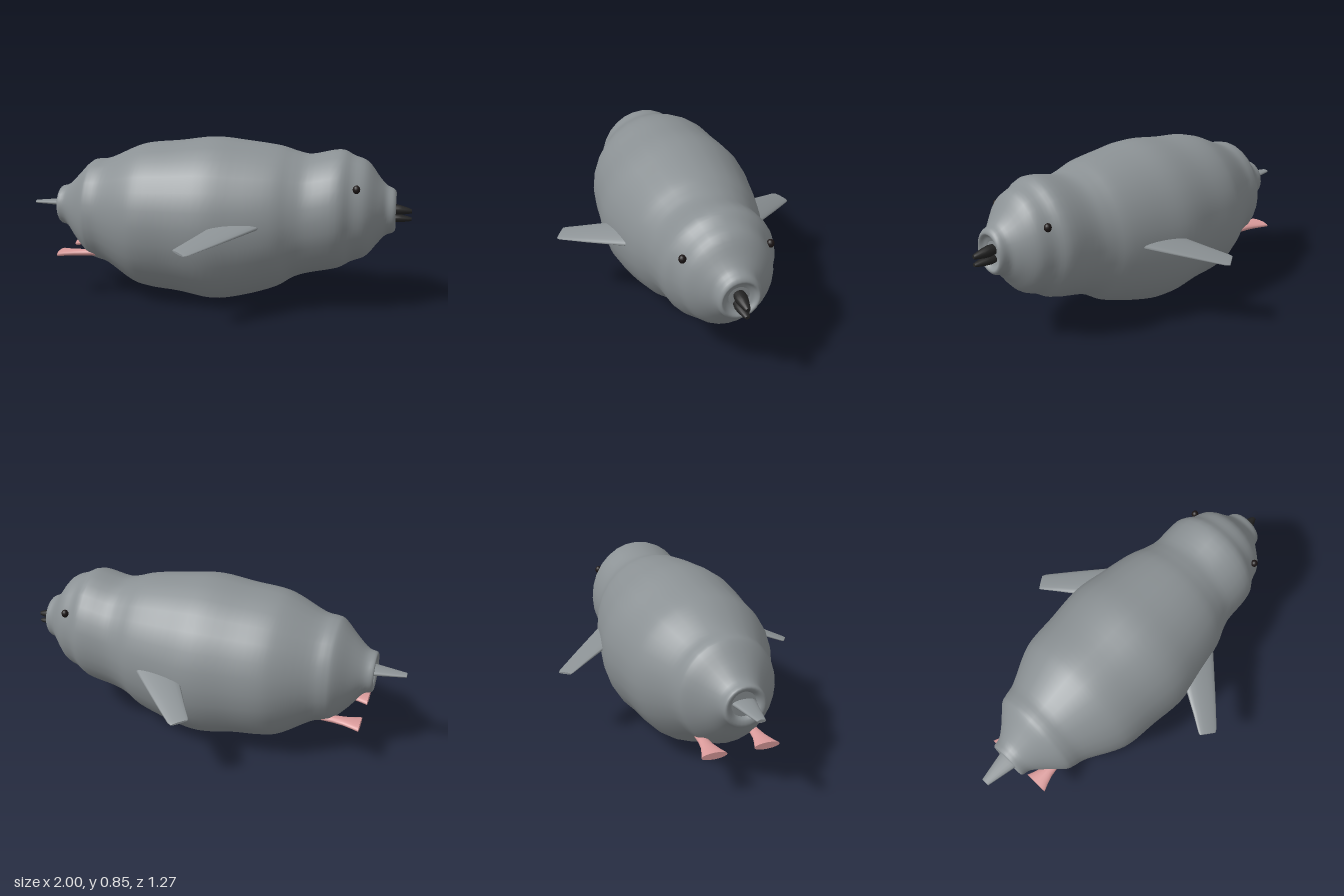
import * as THREE from 'three';

const V = (x, y, z) => new THREE.Vector3(x, y, z);

// Ellipse of points: centre + u cos + v sin (u x v points along the loft)
function ring(c, u, v, n) {
  return Array.from({ length: n }, (_, j) => {
    const a = (j / n) * Math.PI * 2;
    return c.clone().addScaledVector(u, Math.cos(a)).addScaledVector(v, Math.sin(a));
  });
}

// Smooth skin through a row of rings, with flat end caps
function loft(rings) {
  const n = rings[0].length, pts = rings.flat(), idx = [];
  for (let i = 0; i < rings.length - 1; i++) {
    for (let j = 0; j < n; j++) {
      const k = (j + 1) % n, a = i * n + j, b = i * n + k;
      idx.push(a, b, a + n, b, b + n, a + n);
    }
  }
  [rings[0], rings[rings.length - 1]].forEach((r, end) => {
    const s = pts.length;
    const mid = r.reduce((m, p) => m.add(p), V(0, 0, 0)).divideScalar(n);
    pts.push(...r, mid);
    for (let j = 0; j < n; j++) {
      const k = (j + 1) % n;
      if (end) idx.push(s + n, s + j, s + k);
      else idx.push(s + n, s + k, s + j);
    }
  });
  const g = new THREE.BufferGeometry().setFromPoints(pts);
  g.setIndex(idx);
  g.computeVertexNormals();
  return g;
}

export function createModel() {
  const model = new THREE.Group();
  const mat = (name, color) => new THREE.MeshStandardMaterial({ name, color });
  const grey = mat('grey feathers', 0x8b9194);
  const pink = mat('pink feet', 0xd99a9a);
  const black = mat('black beak', 0x222222);
  const eyeBlack = mat('eye black', 0x1c1616);
  const add = (name, geometry, material) => {
    const m = new THREE.Mesh(geometry, material);
    m.name = name;
    model.add(m);
    return m;
  };

  // Body and head: x, top, bottom, half width, dished at both ends
  const profile = [
    [-0.825, 0.53, 0.41, 0.06], [-0.845, 0.545, 0.395, 0.078],
    [-0.845, 0.565, 0.365, 0.1], [-0.8, 0.58, 0.345, 0.112],
    [-0.74, 0.635, 0.265, 0.16], [-0.67, 0.705, 0.195, 0.228],
    [-0.63, 0.72, 0.178, 0.245], [-0.56, 0.73, 0.158, 0.265],
    [-0.42, 0.792, 0.072, 0.338], [-0.33, 0.816, 0.046, 0.367],
    [-0.18, 0.83, 0.032, 0.38], [0, 0.852, 0.005, 0.397],
    [0.16, 0.838, 0.03, 0.372], [0.33, 0.816, 0.085, 0.336],
    [0.42, 0.79, 0.14, 0.3], [0.5, 0.777, 0.168, 0.28],
    [0.64, 0.803, 0.2, 0.274], [0.71, 0.775, 0.238, 0.235],
    [0.78, 0.745, 0.268, 0.208], [0.84, 0.667, 0.34, 0.15],
    [0.875, 0.63, 0.378, 0.112], [0.91, 0.612, 0.392, 0.1],
    [0.922, 0.59, 0.412, 0.086], [0.905, 0.572, 0.432, 0.07],
    [0.895, 0.55, 0.455, 0.05],
  ];
  const outline = new THREE.CatmullRomCurve3(profile.map(p => V(p[0], p[1], p[2])), false, 'catmullrom', 0.5);
  const widths = new THREE.CatmullRomCurve3(profile.map(p => V(p[0], p[3], 0)), false, 'catmullrom', 0.5);
  const steps = (profile.length - 1) * 4;
  const bodyRings = [];
  for (let i = 0; i <= steps; i++) {
    const o = outline.getPoint(i / steps), w = widths.getPoint(i / steps).y;
    bodyRings.push(ring(V(o.x, (o.y + o.z) / 2, 0), V(0, (o.y - o.z) / 2, 0), V(0, 0, w), 28));
  }
  add('body', loft(bodyRings), grey);

  // Tail: flat tapering blade
  add('tail', loft([
    ring(V(-0.78, 0.476, 0), V(0, 0, 0.066), V(0, 0.021, 0), 16),
    ring(V(-0.86, 0.476, 0), V(0, 0, 0.05), V(0, 0.017, 0), 16),
    ring(V(-1, 0.473, 0), V(0, 0, 0.021), V(0, 0.008, 0), 16),
  ]), grey);

  // Beak: two blunt cones
  for (const [name, y0, y1, r] of [['upperBeak', 0.512, 0.502, 0.027], ['lowerBeak', 0.468, 0.462, 0.022]]) {
    add(name, loft([[0.88, 0.85], [0.92, 1], [0.95, 0.85], [0.985, 0.55], [1, 0.35]].map(([x, k]) =>
      ring(V(x, THREE.MathUtils.mapLinear(x, 0.88, 1, y0, y1), 0), V(0, r * k, 0), V(0, 0, 0.03 * k), 16))), black);
  }

  for (const s of [1, -1]) {
    const side = s > 0 ? 'right' : 'left';

    // Flipper: leading edge x z, trailing edge x z, half thickness
    const flipper = [
      [0.285, 0.325, 0.09, 0.3, 0.02],
      [0.285, 0.35, 0.04, 0.385, 0.019],
      [0.13, 0.51, -0.025, 0.5, 0.013],
      [0.015, 0.625, -0.07, 0.575, 0.007],
      [-0.005, 0.636, -0.074, 0.588, 0.005],
    ];
    const height = z => 0.455 - 0.285 * (z - 0.34);
    add(side + 'Flipper', loft(flipper.map(([lx, lz, tx, tz, t]) => {
      const lead = V(lx, height(lz), lz * s), trail = V(tx, height(tz), tz * s);
      const mid = lead.clone().add(trail).multiplyScalar(0.5);
      return ring(mid, lead.sub(mid), V(0, t * s, 0), 16);
    })), grey);

    // Foot: flares towards its flat end
    add(side + 'Foot', loft([[-0.62, 0.022], [-0.68, 0.025], [-0.73, 0.033], [-0.78, 0.05], [-0.813, 0.064]].map(([x, w]) =>
      ring(V(x, 0.236 - 0.04 * (x + 0.62) * -1, s * 0.13), V(0, 0, w), V(0, 0.017, 0), 16))), pink);

    // Eye
    const eye = add(side + 'Eye', new THREE.SphereGeometry(0.018, 14, 10), eyeBlack);
    eye.position.set(0.735, 0.635, s * 0.207);
    eye.scale.y = 1.15;
  }
  return model;
}
